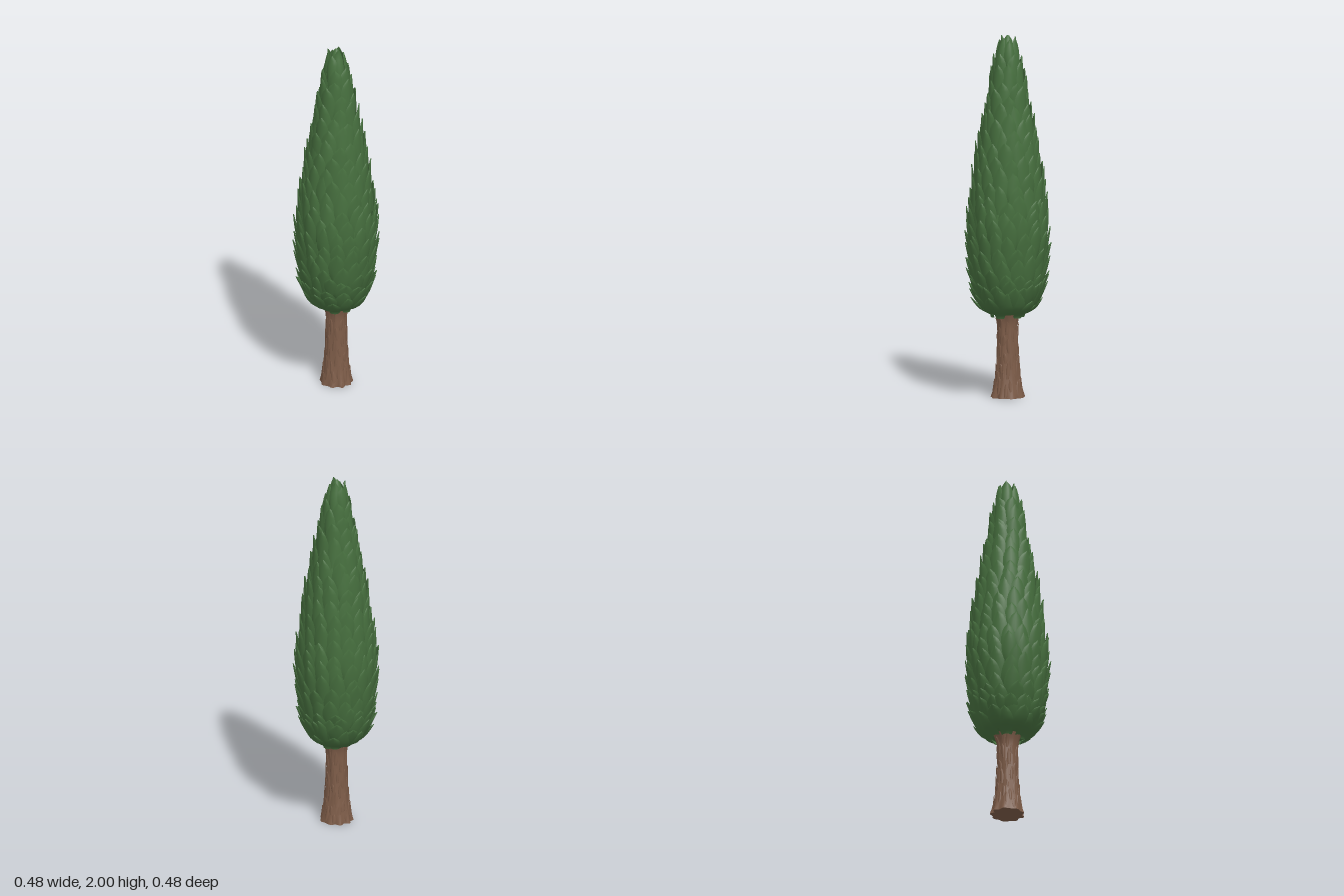
import * as THREE from 'three';
import { mergeGeometries, toCreasedNormals } from 'three/addons/utils/BufferGeometryUtils.js';

// Small seeded random in -1..1
let seed = 7;
const jitter = () => {
  seed = (seed * 16807) % 2147483647;
  return (seed / 2147483647) * 2 - 1;
};

// Radius by height, as a smooth curve through [radius, height] points
function profile(points) {
  const pts = new THREE.CatmullRomCurve3(points.map(([r, y]) => new THREE.Vector3(r, y, 0))).getPoints(120);
  return (y) => {
    if (y <= pts[0].y) return pts[0].x;
    for (let i = 1; i < pts.length; i++) {
      if (y <= pts[i].y) {
        const t = (y - pts[i - 1].y) / (pts[i].y - pts[i - 1].y);
        return pts[i - 1].x + (pts[i].x - pts[i - 1].x) * t;
      }
    }
    return pts[pts.length - 1].x;
  };
}

const crownRadius = profile([[0.105, 0.46], [0.155, 0.49], [0.185, 0.55], [0.206, 0.65], [0.22, 0.8], [0.223, 0.95],
  [0.205, 1.12], [0.183, 1.28], [0.16, 1.42], [0.124, 1.6], [0.09, 1.78], [0.062, 1.9], [0.022, 2]]);
const trunkRadius = profile([[0.088, 0], [0.08, 0.04], [0.068, 0.12], [0.06, 0.22], [0.056, 0.34], [0.058, 0.42], [0.08, 0.49]]);

// A pointed scale wrapped round a profile: bulging front, flat back
function scale(radiusAt, { angle, y, width, height, sink, lift, bulge, lean = 0 }) {
  const faces = [1, 0].map((front) => {
    const g = new THREE.PlaneGeometry(2, 1, 6, 7);
    const p = g.attributes.position;
    for (let i = 0; i < p.count; i++) {
      const u = p.getX(i);
      const v = p.getY(i) + 0.5;
      const outline = (0.65 + 0.35 * Math.sin(Math.min(v / 0.4, 1) * Math.PI / 2)) * Math.pow(1 - v ** 3, 0.8);
      const py = y + height * v;
      const base = Math.max(radiusAt(py), 0.03);
      const r = base - sink + lift * v + front * bulge * (1 - u * u) * (1 - 0.6 * v);
      const a = angle + (width / 2 * u * outline + lean * v) / base;
      p.setXYZ(i, Math.sin(a) * r, py, Math.cos(a) * r);
    }
    if (!front) g.index.array.reverse();
    g.computeVertexNormals();
    return g;
  });
  return mergeGeometries(faces);
}

function foliage() {
  const scales = [];
  let y = 0.445;
  for (let ring = 0; y < 1.82; ring++) {
    const r = crownRadius(y + 0.08);
    const count = Math.max(6, Math.round(2 * Math.PI * r / 0.083));
    const low = y < 0.6;
    for (let i = 0; i < count; i++) {
      scales.push(scale(crownRadius, {
        angle: (i + (ring % 2) * 0.5 + jitter() * 0.18) / count * Math.PI * 2 + ring * 0.13,
        y: y + jitter() * 0.018 + (low ? 0.012 : 0),
        width: 2 * Math.PI * r / count * 1.28,
        height: (low ? 0.12 : 0.175) + jitter() * 0.018,
        sink: 0.027,
        lift: 0.034 + jitter() * 0.008,
        bulge: 0.014,
        lean: jitter() * 0.01,
      }));
    }
    y += low ? 0.042 : 0.07;
  }
  return mergeGeometries(scales);
}

// Inner body that closes the crown below and forms its tip
function crownCore() {
  const pts = [new THREE.Vector2(0, 0.475), new THREE.Vector2(0.1, 0.475)];
  for (let y = 0.5; y < 1.86; y += 0.05) pts.push(new THREE.Vector2(crownRadius(y) - 0.026, y));
  pts.push(new THREE.Vector2(0.041, 1.88), new THREE.Vector2(0.036, 1.93), new THREE.Vector2(0.022, 1.975),
    new THREE.Vector2(0.009, 1.996), new THREE.Vector2(0, 2));
  return new THREE.LatheGeometry(pts, 28);
}

// Trunk swelling into root lobes at the ground
function trunkBody() {
  const g = new THREE.CylinderGeometry(1, 1, 0.49, 60, 18);
  const p = g.attributes.position;
  for (let i = 0; i < p.count; i++) {
    const y = p.getY(i) + 0.245;
    const a = Math.atan2(p.getX(i), p.getZ(i));
    const root = Math.exp(-y / 0.06);
    const lobes = 0.09 * root * Math.cos(9 * a + Math.sin(2 * a)) + 0.035 * Math.cos(7 * a + 9 * y);
    const r = trunkRadius(y) * (1 + lobes);
    p.setXYZ(i, p.getX(i) * r, y, p.getZ(i) * r);
  }
  return toCreasedNormals(g, 0.9);
}

// Raised bark slivers, closer together near the roots
function bark() {
  const slivers = [];
  for (let i = 0; i < 64; i++) {
    const height = 0.075 + jitter() * 0.025;
    slivers.push(scale(trunkRadius, {
      angle: i * 2.39996,
      y: 0.4 * Math.pow(i / 64, 1.35),
      width: 0.024 + jitter() * 0.006,
      height,
      sink: 0.004,
      lift: 0.007,
      bulge: 0.006,
      lean: jitter() * 0.008,
    }));
  }
  return mergeGeometries(slivers);
}

export function createModel() {
  seed = 7;
  const leafGreen = new THREE.MeshStandardMaterial({ color: 0x47703f });
  leafGreen.name = 'leafGreen';
  const barkBrown = new THREE.MeshStandardMaterial({ color: 0x7d5c48 });
  barkBrown.name = 'barkBrown';

  const tree = new THREE.Group();
  tree.name = 'cypressTree';
  const add = (name, geometry, material) => {
    const mesh = new THREE.Mesh(geometry, material);
    mesh.name = name;
    tree.add(mesh);
  };
  add('trunk', trunkBody(), barkBrown);
  add('barkSlivers', bark(), barkBrown);
  add('crownCore', crownCore(), leafGreen);
  add('foliageScales', foliage(), leafGreen);
  return tree;
}
